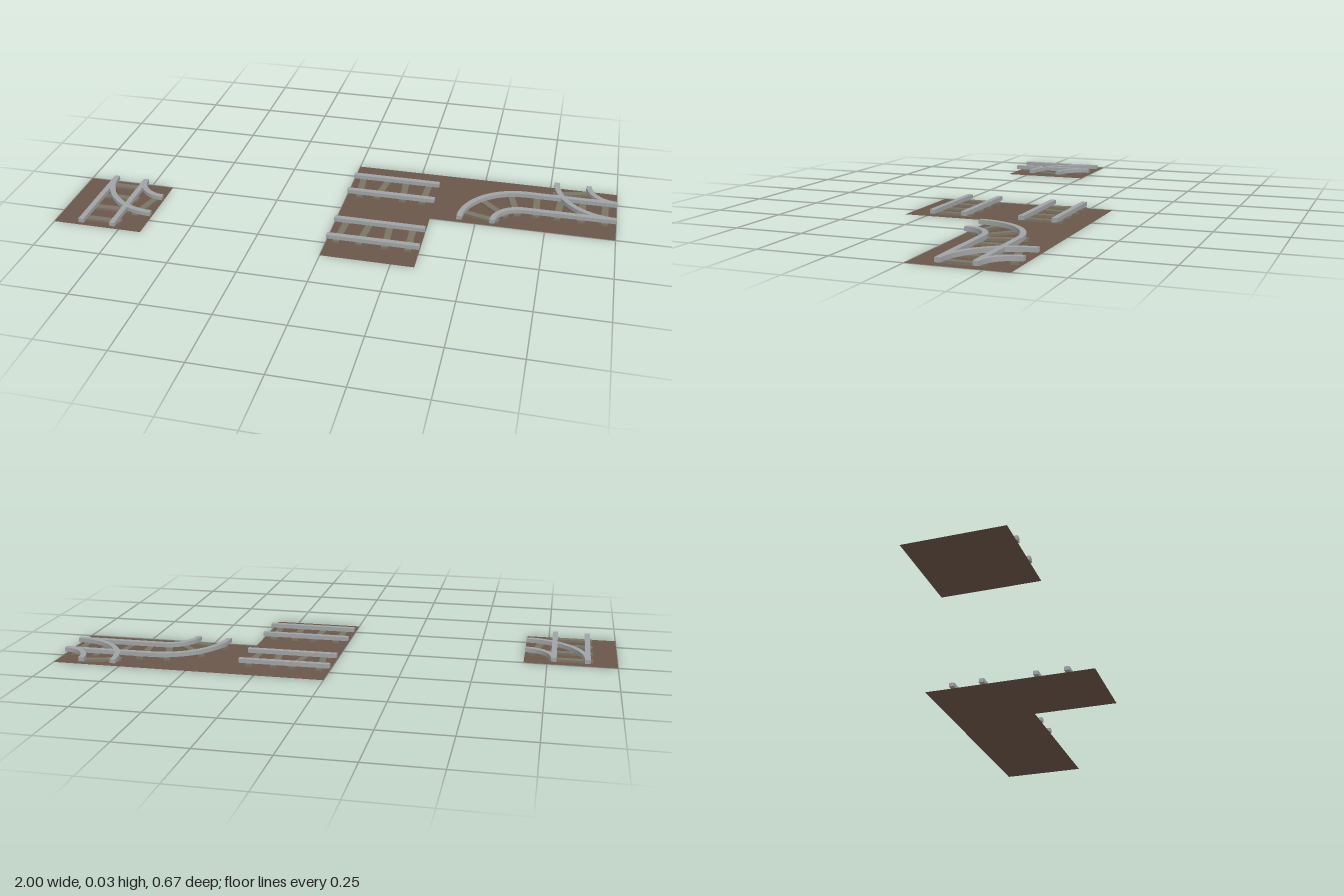
import * as THREE from 'three';

const T = 1 / 3;                         // tile size
const GAUGE = 0.06;                      // rail distance from track centre
const RAIL_W = 0.02, RAIL_Y = 0.01, RAIL_H = 0.015;
const SLEEPER = [0.025, 0.009, 0.158];

const material = (name, color) => {
  const m = new THREE.MeshStandardMaterial({ color });
  m.name = name;
  return m;
};

export function createModel() {
  const earth = material('earth brown', 0x6b564a);
  earth.side = THREE.DoubleSide;
  const wood = material('weathered wood', 0x7a7463);
  const steel = material('rail grey', 0xa0a3a5);
  const rad = THREE.MathUtils.degToRad;

  const add = (parent, name, geometry, mat, x = 0, y = 0, z = 0, turn = 0) => {
    const mesh = new THREE.Mesh(geometry, mat);
    mesh.name = name;
    mesh.position.set(x, y, z);
    mesh.rotation.y = turn;
    parent.add(mesh);
  };

  const sleeperGeo = new THREE.BoxGeometry(...SLEEPER);
  const railGeo = new THREE.BoxGeometry(T, RAIL_H, RAIL_W);

  // Quarter ring rail around the origin, spanning -x to -z
  const arcGeo = (r) => {
    const s = new THREE.Shape();
    s.absarc(0, 0, r + RAIL_W / 2, Math.PI / 2, Math.PI, false);
    s.absarc(0, 0, r - RAIL_W / 2, Math.PI, Math.PI / 2, true);
    return new THREE.ExtrudeGeometry(s, { depth: RAIL_H, bevelEnabled: false, curveSegments: 12 })
      .rotateX(-Math.PI / 2);
  };
  const arcs = [arcGeo(T / 2 - GAUGE), arcGeo(T / 2 + GAUGE)];

  // Straight track along x, with slightly crooked sleepers
  const straight = (tile, tilts) => {
    for (const s of [-1, 1]) add(tile, 'straightRail', railGeo, steel, 0, RAIL_Y + RAIL_H / 2, s * GAUGE);
    tilts.forEach((t, i) => add(tile, 'sleeper', sleeperGeo, wood,
      (i - 1.5) * T / 4, 0.0055, 0, rad(t)));
  };

  // Quarter turn about a tile corner, with radial sleepers
  const curve = (tile, x, z, turn, angles) => {
    const g = new THREE.Group();
    g.name = 'curvedTrack';
    g.position.set(x, 0, z);
    g.rotation.y = turn;
    for (const a of arcs) add(g, 'curvedRail', a, steel, 0, RAIL_Y, 0);
    for (const deg of angles) {
      const a = rad(deg);
      add(g, 'sleeper', sleeperGeo, wood,
        -Math.cos(a) * T / 2, 0.0055, -Math.sin(a) * T / 2, Math.PI / 2 - a);
    }
    tile.add(g);
  };

  const model = new THREE.Group();
  model.name = 'trackTiles';
  const makeTile = (name, x, z) => {
    const g = new THREE.Group();
    g.name = name;
    g.position.set(x, 0, z);
    add(g, 'ground', new THREE.PlaneGeometry(T, T).rotateX(-Math.PI / 2), earth);
    model.add(g);
    return g;
  };
  const h = T / 2;

  // Two straight tiles
  straight(makeTile('backStraightTile', h, -h), [5, -8, 4, -2]);
  straight(makeTile('frontStraightTile', h, h), [-4, -5, 3, 2]);

  // Curved tile
  curve(makeTile('curveTile', T + h, -h), h, h, 0, [16, 45, 75]);

  // Junction on the long arm: the branch leaves through the back
  const junction = makeTile('junctionTile', 1 - h, -h);
  straight(junction, [2, -3, 0, 0]);
  curve(junction, h, -h, Math.PI / 2, [75]);

  // Detached junction: straight along z, branch leaving to the side
  const detached = makeTile('detachedJunctionTile', -1 + h, h);
  const main = new THREE.Group();
  main.name = 'mainTrack';
  main.rotation.y = Math.PI / 2;
  straight(main, [0, 0, 0, 0]);
  detached.add(main);
  curve(detached, h, -h, Math.PI / 2, [15]);

  return model;
}
